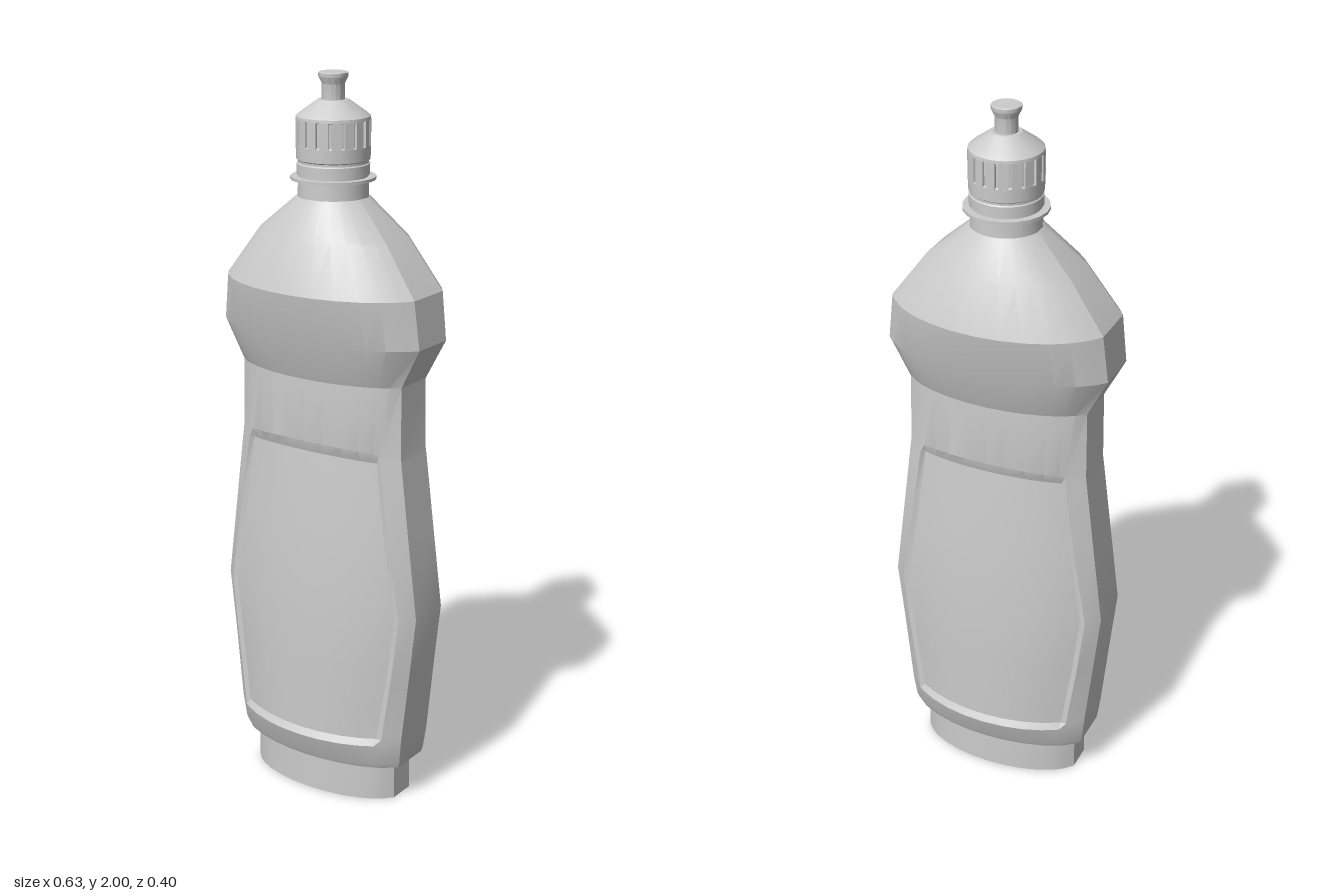
import * as THREE from 'three';
import { toCreasedNormals } from 'three/addons/utils/BufferGeometryUtils.js';

const material = new THREE.MeshStandardMaterial({ color: 0xcccccc });

// Body rings: height, half width, half depth, k (1 = full ellipse, less = flat sides),
// panel edge outer and inner (share of half width), panel recess, arch of the ring at the middle
const RINGS = [
  [0.00, 0.235, 0.124, 0.95, 0.90, 0.80, 0, 0],
  [0.11, 0.235, 0.124, 0.95, 0.90, 0.80, 0, 0],
  [0.11, 0.260, 0.140, 0.91, 0.86, 0.79, 0, 0],
  [0.122, 0.265, 0.146, 0.91, 0.86, 0.79, 0, 0],
  [0.188, 0.273, 0.168, 0.92, 0.85, 0.79, 0, -0.005],
  [0.207, 0.275, 0.168, 0.92, 0.85, 0.79, 0.011, -0.005],
  [0.40, 0.296, 0.172, 0.93, 0.88, 0.83, 0.013, 0],
  [0.57, 0.315, 0.172, 0.93, 0.89, 0.84, 0.013, 0],
  [0.80, 0.286, 0.160, 0.92, 0.85, 0.80, 0.013, 0],
  [0.995, 0.262, 0.141, 0.90, 0.82, 0.77, 0.012, 0.015],
  [1.02, 0.259, 0.139, 0.90, 0.82, 0.77, 0, 0.02],
  [1.21, 0.257, 0.135, 0.90, 0.90, 0.79, 0, 0],
  [1.32, 0.314, 0.176, 0.93, 0.92, 0.79, 0, 0],
  [1.45, 0.299, 0.200, 0.94, 0.93, 0.79, 0, 0],
  [1.585, 0.200, 0.155, 0.94, 0.93, 0.79, 0, 0],
  [1.68, 0.094, 0.094, 0.98, 0.93, 0.79, 0, 0],
];

// One closed cross-section, running over the front and back again behind
function ringPoints([y, w, d, k, uo, ui, recess, arch]) {
  const half = [1, uo, ui, 0.8 * ui, 0.55 * ui, 0.28 * ui];
  const us = [...half, 0, ...half.map((u) => -u).reverse()];
  const point = (u, side) => {
    const z = d * Math.sqrt(1 - (k * u) ** 2) - (Math.abs(u) <= ui ? recess : 0);
    return [w * u, y + arch * (1 - u * u), side * z];
  };
  return [...us.map((u) => point(u, 1)), ...us.reverse().map((u) => point(u, -1))];
}

function bodyGeometry() {
  const rings = RINGS.map(ringPoints);
  const n = rings[0].length;
  const positions = rings.flat(2);
  const index = [];
  for (let i = 0; i < rings.length - 1; i++) {
    for (let j = 0; j < n; j++) {
      const a = i * n + j, b = i * n + (j + 1) % n;
      index.push(a, a + n, b, b, a + n, b + n);
    }
  }
  // flat underside
  const centre = positions.length / 3;
  positions.push(0, 0, 0);
  for (let j = 0; j < n; j++) index.push(centre, j, (j + 1) % n);
  const geometry = new THREE.BufferGeometry();
  geometry.setAttribute('position', new THREE.Float32BufferAttribute(positions, 3));
  geometry.setIndex(index);
  return toCreasedNormals(geometry, 0.35);
}

function lathe(profile, segments) {
  const points = profile.map(([r, y]) => new THREE.Vector2(r, y));
  return toCreasedNormals(new THREE.LatheGeometry(points, segments), 0.5);
}

export function createModel() {
  const model = new THREE.Group();
  const add = (name, geometry, parent = model) => {
    const mesh = new THREE.Mesh(geometry, material);
    mesh.name = name;
    parent.add(mesh);
    return mesh;
  };

  add('body', bodyGeometry());

  add('neck', lathe([[0.094, 1.675], [0.092, 1.74]], 32));
  add('neckFlange', lathe([[0.085, 1.724], [0.113, 1.724], [0.113, 1.732], [0.085, 1.732]], 20));

  // Screw cap with a sloping shoulder
  add('cap', lathe([
    [0.085, 1.737], [0.096, 1.737], [0.096, 1.765], [0.093, 1.768], [0.093, 1.774],
    [0.097, 1.777], [0.098, 1.812], [0.092, 1.815], [0.092, 1.878], [0.098, 1.88],
    [0.097, 1.888], [0.088, 1.896], [0.04, 1.93], [0.028, 1.93],
  ], 32));

  // Grip ribs around the cap
  const ribs = new THREE.Group();
  ribs.name = 'capRibs';
  model.add(ribs);
  const ribCount = 18;
  for (let i = 0; i < ribCount; i++) {
    const angle = (i / ribCount) * Math.PI * 2;
    const rib = add('capRib', new THREE.BoxGeometry(0.024, 0.07, 0.012), ribs);
    rib.position.set(Math.sin(angle) * 0.0915, 1.846, Math.cos(angle) * 0.0915);
    rib.rotation.y = angle;
  }

  // Pull-up spout with a flared lip
  add('spout', lathe([
    [0.030, 1.925], [0.030, 1.97], [0.039, 1.988], [0.039, 1.998],
    [0.036, 2.0], [0, 2.0],
  ], 28));

  return model;
}
